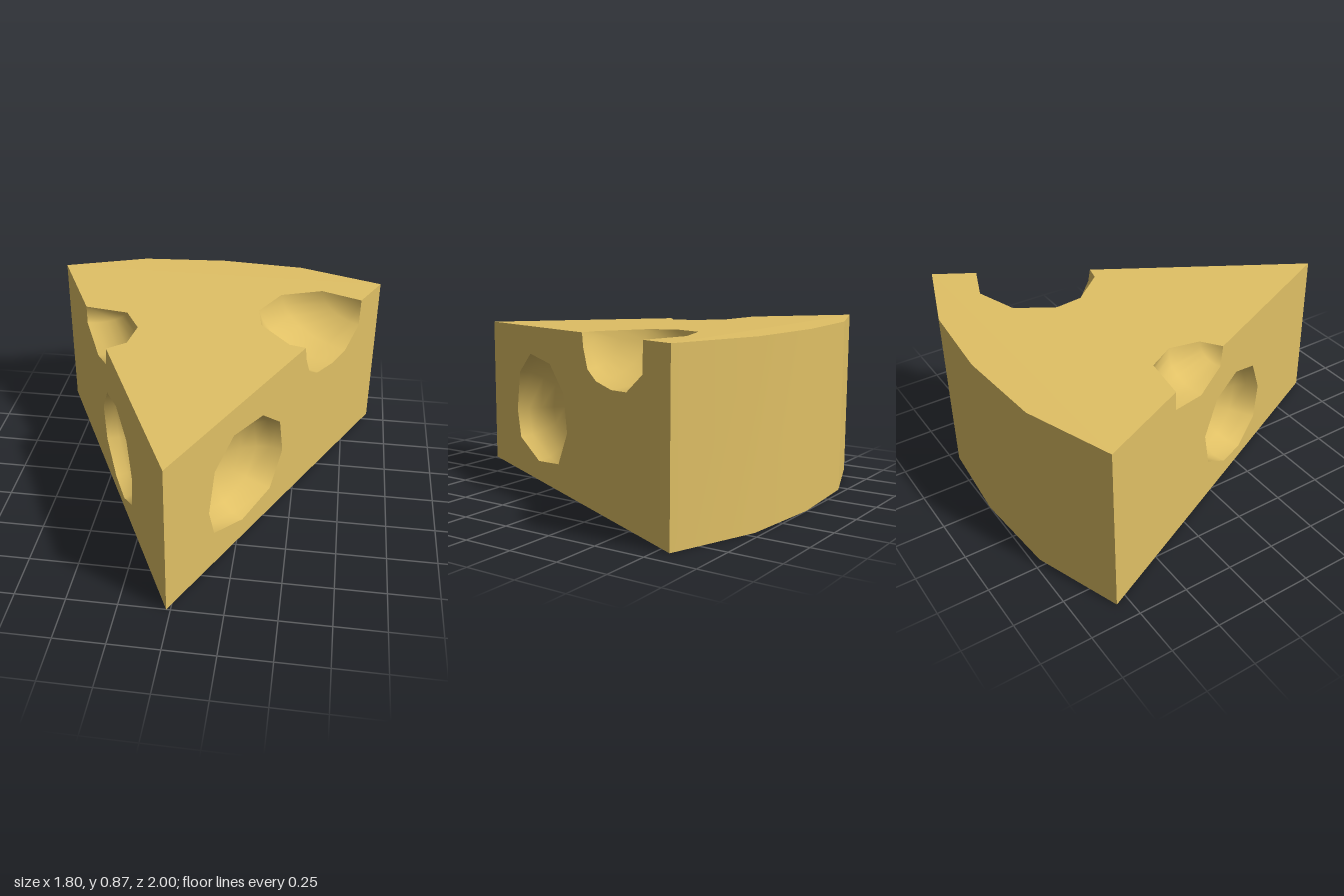
import * as THREE from 'three';
import { mergeVertices } from 'three/addons/utils/BufferGeometryUtils.js';

// Wedge plan (x, z): tip at the front, faceted arc at the back
const TIP = [-0.02, 1];
const ARC = [[0.9, -0.81], [0.45, -0.965], [0, -1], [-0.46, -0.965], [-0.9, -0.81]];
const CORNER_Z = -0.81;
const topY = z => Math.min(0.865, 0.8 + 0.065 * (1 - z) / (1 - CORNER_Z));
const edgeX = (side, z) => TIP[0] + (side * 0.9 - TIP[0]) * (1 - z) / (1 - CORNER_Z);

// Per side: a round hole in the cut face (z, y), and a bite out of the top edge
// that starts and ends at the given z, with its top rim (x, z) and face rim (z, y)
const SIDES = [
  {
    side: 1, name: 'left',
    hole: [[0.51, 0.67], [0.28, 0.645], [0.13, 0.515], [0.095, 0.32], [0.195, 0.14],
      [0.425, 0.105], [0.65, 0.19], [0.69, 0.34], [0.65, 0.555]],
    ends: [-0.07, -0.605],
    rimTop: [[0.44, -0.09], [0.36, -0.18], [0.28, -0.27], [0.255, -0.42], [0.36, -0.61], [0.58, -0.685]],
    rimFace: [[-0.08, 0.77], [-0.12, 0.67], [-0.2, 0.625], [-0.34, 0.605], [-0.47, 0.615], [-0.6, 0.71]],
  },
  {
    side: -1, name: 'right',
    hole: [[0.22, 0.59], [0.4, 0.51], [0.475, 0.33], [0.445, 0.15], [0.29, 0.065],
      [0.135, 0.085], [-0.03, 0.21], [-0.07, 0.395], [0.035, 0.55]],
    ends: [0.07, -0.34],
    rimTop: [[-0.38, 0], [-0.355, -0.16], [-0.44, -0.305]],
    rimFace: [[0.05, 0.73], [-0.12, 0.68], [-0.34, 0.75]],
  },
];

const topPoint = ([x, z]) => new THREE.Vector3(x, topY(z), z);
const facePoint = (side, [z, y]) => new THREE.Vector3(edgeX(side, z), y, z);

// Flat polygon with holes, laid into space by a mapping of its 2D points
function panel(points, place, holes = []) {
  const vec = list => list.map(p => new THREE.Vector2(...p));
  const shape = new THREE.Shape(vec(points));
  holes.forEach(h => shape.holes.push(new THREE.Path(vec(h))));
  const geo = new THREE.ShapeGeometry(shape);
  const pos = geo.attributes.position;
  for (let i = 0; i < pos.count; i++) pos.setXYZ(i, ...place(pos.getX(i), pos.getY(i)));
  geo.computeVertexNormals();
  return geo;
}

// Smooth skin over rows of points
function skin(rows, flip) {
  const n = rows[0].length, index = [];
  for (let i = 0; i < rows.length - 1; i++) {
    for (let j = 0; j < n - 1; j++) {
      const a = i * n + j, b = a + n, c = b + 1, d = a + 1;
      index.push(...(flip ? [a, c, b, a, d, c] : [a, b, c, a, c, d]));
    }
  }
  let geo = new THREE.BufferGeometry().setFromPoints(rows.flat());
  geo.setIndex(index);
  geo = mergeVertices(geo, 1e-4);
  geo.computeVertexNormals();
  return geo;
}

// Round hollow sunk into a cut face
function hollow({ side, hole }, depth = 0.2, steps = 5) {
  const rim = hole.map(p => facePoint(side, p));
  const centre = rim.reduce((s, p) => s.add(p), new THREE.Vector3()).divideScalar(rim.length);
  const inward = new THREE.Vector3(-side * 0.891, 0, -0.453);
  const rows = [...rim, rim[0]].map(p => Array.from({ length: steps + 1 }, (_, j) => {
    const a = j / steps * Math.PI / 2;
    return p.clone().sub(centre).multiplyScalar(Math.cos(a)).add(centre)
      .addScaledVector(inward, depth * Math.sin(a));
  }));
  return skin(rows, true);
}

// Quarter-round bite swept from the top rim down to the face rim
function bite({ side, ends, rimTop, rimFace }, steps = 6) {
  const [start, end] = ends.map(z => topPoint([edgeX(side, z), z]));
  const edge = new THREE.Line3(start, end);
  const tops = [start, ...rimTop.map(topPoint), end];
  const faces = [start, ...rimFace.map(p => facePoint(side, p)), end];
  const rows = tops.map((t, i) => {
    const f = faces[i];
    const ft = edge.closestPointToPoint(t, false, new THREE.Vector3());
    const ff = edge.closestPointToPoint(f, false, new THREE.Vector3());
    return Array.from({ length: steps + 1 }, (_, j) => {
      const k = j / steps, a = k * Math.PI / 2;
      return ft.clone().lerp(ff, k)
        .addScaledVector(t.clone().sub(ft), Math.cos(a))
        .addScaledVector(f.clone().sub(ff), Math.sin(a));
    });
  });
  return skin(rows, side > 0);
}

export function createModel() {
  const group = new THREE.Group();
  group.name = 'cheeseWedge';
  const cheese = new THREE.MeshStandardMaterial({ color: 0xe0c065 });
  cheese.name = 'cheese yellow';
  const add = (name, geo) => {
    const mesh = new THREE.Mesh(geo, cheese);
    mesh.name = name;
    group.add(mesh);
  };

  // Top: sloping part with both bites, and the level strip along the arc
  const biteRim = ({ side, ends, rimTop }) =>
    [[edgeX(side, ends[0]), ends[0]], ...rimTop, [edgeX(side, ends[1]), ends[1]]];
  const outline = [TIP, ...biteRim(SIDES[0]), ARC[0], ARC[4], ...biteRim(SIDES[1]).reverse()];
  const plan = list => list.map(([x, z]) => [x, -z]);
  const onTop = (u, v) => [u, topY(-v), -v];
  add('topFace', panel(plan(outline), onTop));
  add('topBackStrip', panel(plan(ARC), onTop));

  // Underside
  add('bottomFace', panel([TIP, ...ARC], (u, v) => [u, 0, v]));

  // Rind: smooth arc with one flat end facet
  const wall = list => skin(list.map(([x, z]) =>
    [new THREE.Vector3(x, 0, z), new THREE.Vector3(x, topY(z), z)]), false);
  add('backRind', wall(ARC.slice(0, 4)));
  add('backRindEnd', wall(ARC.slice(3)));

  // Cut faces with their hollows and bites
  SIDES.forEach(s => {
    const [a, b] = s.ends;
    const profile = [[1, 0], [CORNER_Z, 0], [CORNER_Z, topY(CORNER_Z)],
      [b, topY(b)], ...[...s.rimFace].reverse(), [a, topY(a)], [1, topY(1)]];
    const toFace = list => list.map(([z, y]) => [-s.side * z, y]);
    add(s.name + 'CutFace', panel(toFace(profile),
      (u, v) => [edgeX(s.side, -s.side * u), v, -s.side * u], [toFace(s.hole)]));
    add(s.name + 'Hole', hollow(s));
    add(s.name + 'EdgeBite', bite(s));
  });
  return group;
}
